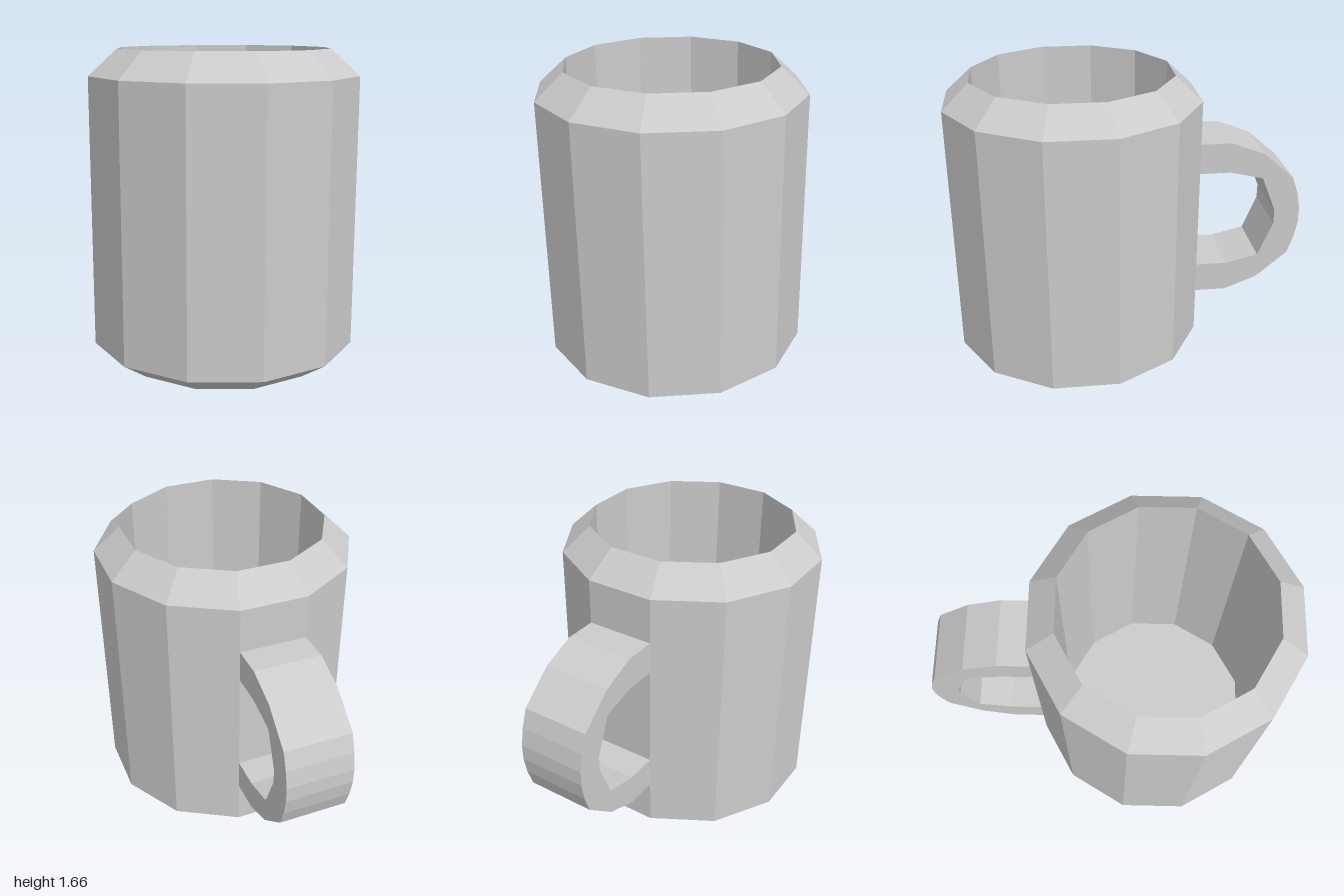
import * as THREE from 'three';

const SIDES = 12;
const RADIUS = 0.713;
const CENTER_Z = 0.286;
const MID_Y = 0.82; // the handle mirrors about this height

const vectors = (pairs) => pairs.map(([x, y]) => new THREE.Vector2(x, y));

// Mirrors an upper half outline of [distance, height above middle] downwards
const mirrored = (half) => [
  ...half,
  ...half.slice().reverse().map(([x, y]) => [x, -y]),
];

export function createModel() {
  const group = new THREE.Group();
  const material = new THREE.MeshStandardMaterial({ color: 0xcccccc, flatShading: true });

  // Hollow cup: base, bevelled outer wall, sharp rim, straight inner wall, floor
  const profile = vectors([
    [0, 0], [0.567, 0], [RADIUS, 0.1], [RADIUS, 1.527],
    [0.563, 1.664], [0.563, 0.1], [0, 0.1],
  ]);
  const cup = new THREE.Mesh(new THREE.LatheGeometry(profile, SIDES), material);
  cup.name = 'cup';
  cup.position.z = CENTER_Z;
  group.add(cup);

  // Handle: a faceted loop as wide as one wall panel
  const outer = mirrored([
    [0, 0.462], [0.176, 0.462], [0.362, 0.39], [0.538, 0.238], [0.572, 0.14], [0.59, 0.042],
  ]);
  const inner = mirrored([[0, 0.288], [0.176, 0.288], [0.362, 0.243], [0.444, 0.042]]);
  const shape = new THREE.Shape(vectors([...outer, ...inner.reverse()]));
  const width = 2 * RADIUS * Math.sin(Math.PI / SIDES);
  const geometry = new THREE.ExtrudeGeometry(shape, { depth: width, bevelEnabled: false });
  const handle = new THREE.Mesh(geometry, material);
  handle.name = 'handle';

  // Set it against the back panel just right of the middle
  const corner = Math.PI / 6;
  handle.position.set(-RADIUS * Math.sin(corner), MID_Y, CENTER_Z - RADIUS * Math.cos(corner));
  handle.rotation.y = Math.PI / 2 + Math.PI / SIDES;
  group.add(handle);

  return group;
}
